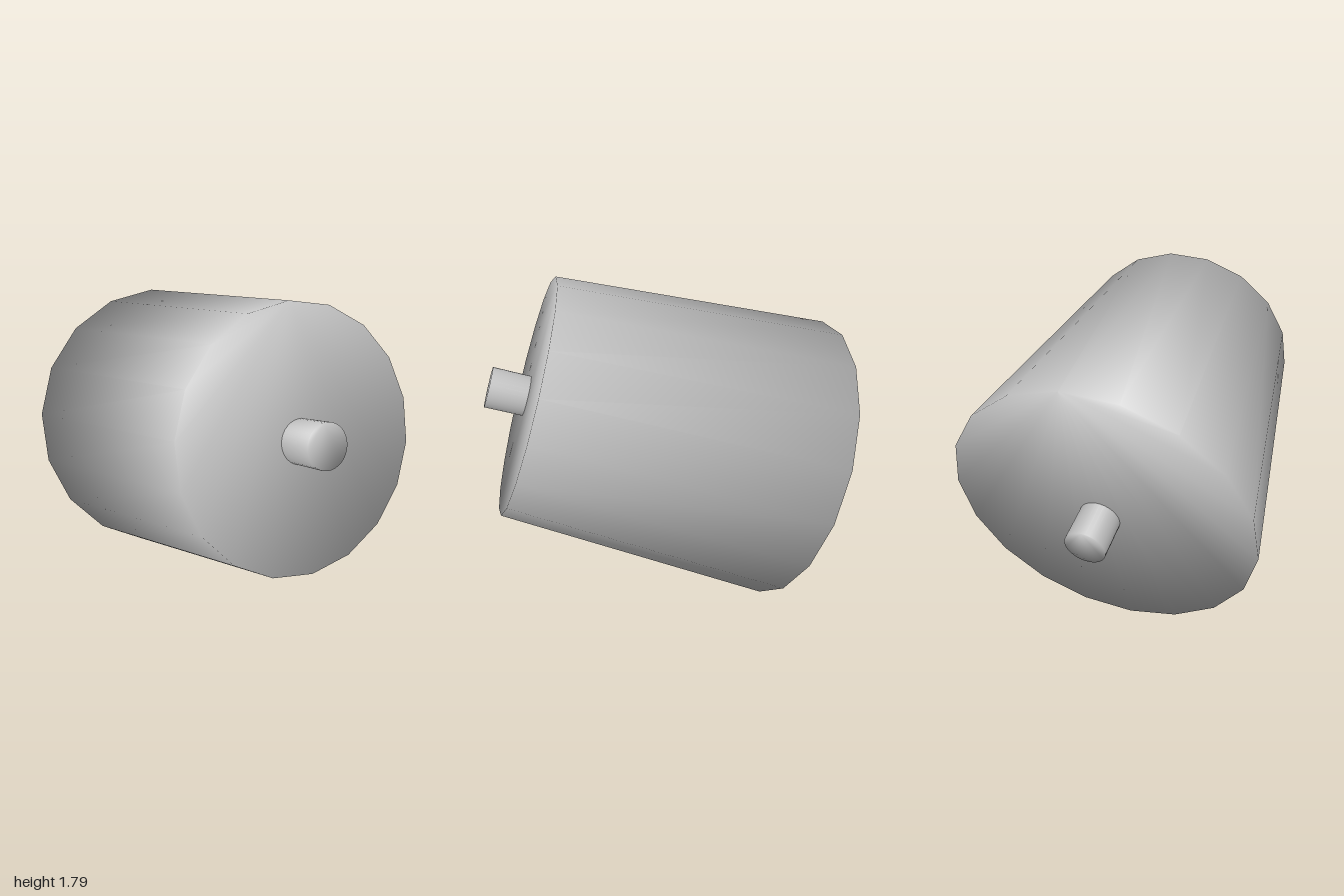
import * as THREE from 'three';

// Closed frustum along y whose rim normals blend side and cap, so it shades softly across the edges
function softFrustum(r0, r1, y0, y1, sides, startAngle) {
  const positions = [], normals = [], index = [];
  const taper = (r0 - r1) / (y1 - y0);
  for (let i = 0; i < sides; i++) {
    const t = startAngle + (i / sides) * Math.PI * 2;
    const x = Math.sin(t), z = -Math.cos(t);
    for (const [r, y, dir] of [[r0, y0, -1], [r1, y1, 1]]) {
      positions.push(x * r, y, z * r);
      const n = new THREE.Vector3(x, taper + dir * 0.9, z).normalize();
      normals.push(n.x, n.y, n.z);
    }
  }
  for (let i = 0; i < sides; i++) {
    const j = (i + 1) % sides;
    const b = 2 * i, t = b + 1, bn = 2 * j, tn = bn + 1;
    index.push(b, t, tn, b, tn, bn); // side wall
    if (i > 0 && j > 0) index.push(0, b, bn, 1, tn, t); // end caps
  }
  const g = new THREE.BufferGeometry();
  g.setAttribute('position', new THREE.Float32BufferAttribute(positions, 3));
  g.setAttribute('normal', new THREE.Float32BufferAttribute(normals, 3));
  g.setIndex(index);
  return g;
}

export function createModel() {
  const model = new THREE.Group();
  model.name = 'taperedRoller';

  const grey = new THREE.MeshStandardMaterial({ color: 0xc0c0c0 });
  grey.name = 'plain grey';

  // Tilted frame: local y runs along the roller, from the wide end to the narrow end
  const roller = new THREE.Group();
  roller.name = 'roller';
  const side = new THREE.Vector3(1, 0, -1).normalize();
  const axis = new THREE.Vector3(2, 1, 2).normalize();
  const across = new THREE.Vector3().crossVectors(side, axis);
  roller.quaternion.setFromRotationMatrix(new THREE.Matrix4().makeBasis(side, axis, across));
  roller.position.set(-0.423, 0.73, -0.423);
  model.add(roller);

  const length = 1.45, stub = 0.19;

  // Tapered drum
  const drum = new THREE.Mesh(softFrustum(0.774, 0.612, 0, length, 18, 0.07), grey);
  drum.name = 'drum';
  roller.add(drum);

  // Axle showing as a short peg at both ends
  const axle = new THREE.Mesh(softFrustum(0.103, 0.103, -stub, length + stub, 32, 0), grey);
  axle.name = 'axle';
  roller.add(axle);

  return model;
}
